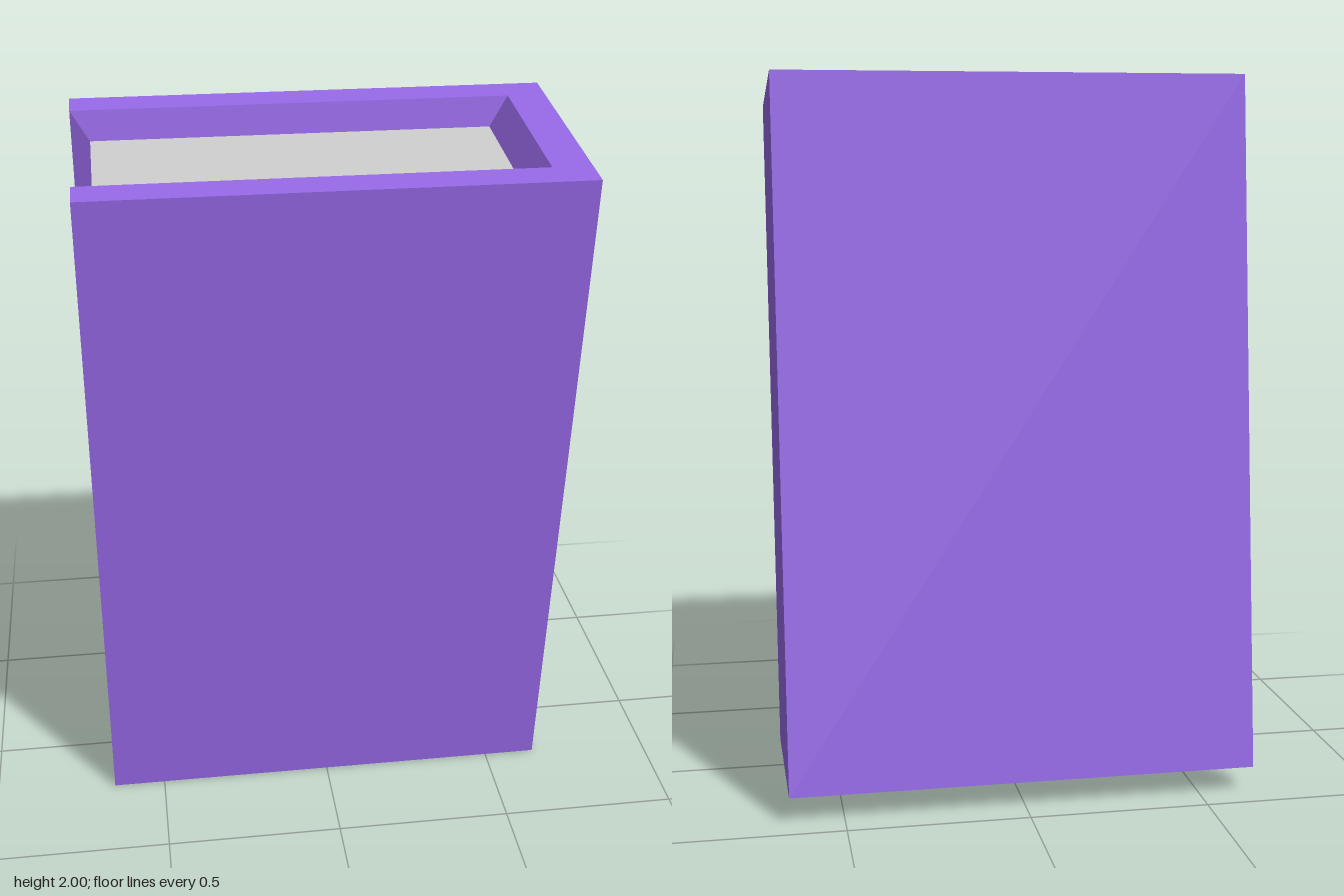
import * as THREE from 'three';

// Half sizes of the closed book, of the cover's inner rim and of the page block
const H = 0.968, PAGE_H = 0.888;
// Corner loops in (x, z): front fore edge, front spine, back spine, back fore edge
const loop = (x0, x1, z) => [[x0, z], [x1, z], [x1, -z], [x0, -z]];
const outer = loop(-0.65, 0.65, 0.33);
const rim = loop(-0.65, 0.545, 0.242);
const page = loop(-0.6, 0.495, 0.222);

function coverGeometry() {
  const pos = [];
  const at = ([x, z], y) => [x, y, z];
  const quad = (a, b, c, d, flip) => {
    if (flip) [b, d] = [d, b];
    pos.push(...a, ...b, ...c, ...a, ...c, ...d);
  };

  for (let i = 0; i < 3; i++) {
    const j = i + 1;
    // outside of front board, spine and back board
    quad(at(outer[i], -H), at(outer[j], -H), at(outer[j], H), at(outer[i], H));
    for (const s of [1, -1]) {
      // flat edge, then the bevel sloping in to the pages
      quad(at(outer[i], s * H), at(outer[j], s * H), at(rim[j], s * H), at(rim[i], s * H), s < 0);
      quad(at(rim[i], s * H), at(rim[j], s * H), at(page[j], s * PAGE_H), at(page[i], s * PAGE_H), s < 0);
    }
  }
  // fore edges of the two boards
  for (const i of [0, 3]) {
    quad(at(outer[i], -H), at(outer[i], H), at(rim[i], H), at(rim[i], -H), i === 3);
    quad(at(rim[i], -H), at(rim[i], H), at(page[i], PAGE_H), at(page[i], -PAGE_H), i === 3);
  }

  const g = new THREE.BufferGeometry();
  g.setAttribute('position', new THREE.Float32BufferAttribute(pos, 3));
  g.computeVertexNormals();
  return g;
}

export function createModel() {
  const book = new THREE.Group();
  book.name = 'book';

  const cover = new THREE.Mesh(
    coverGeometry(),
    new THREE.MeshStandardMaterial({ color: 0x9668e6, flatShading: true, side: THREE.DoubleSide })
  );
  cover.name = 'cover';

  const pages = new THREE.Mesh(
    new THREE.BoxGeometry(1.095, PAGE_H * 2, 0.444),
    new THREE.MeshStandardMaterial({ color: 0xcccccc, flatShading: true })
  );
  pages.name = 'pages';
  pages.position.x = -0.0525;

  // the book leans forward on its lower front edge
  book.add(cover, pages);
  book.rotation.x = 0.117;
  book.position.y = 1;

  const model = new THREE.Group();
  model.name = 'leaningBook';
  model.add(book);
  return model;
}
